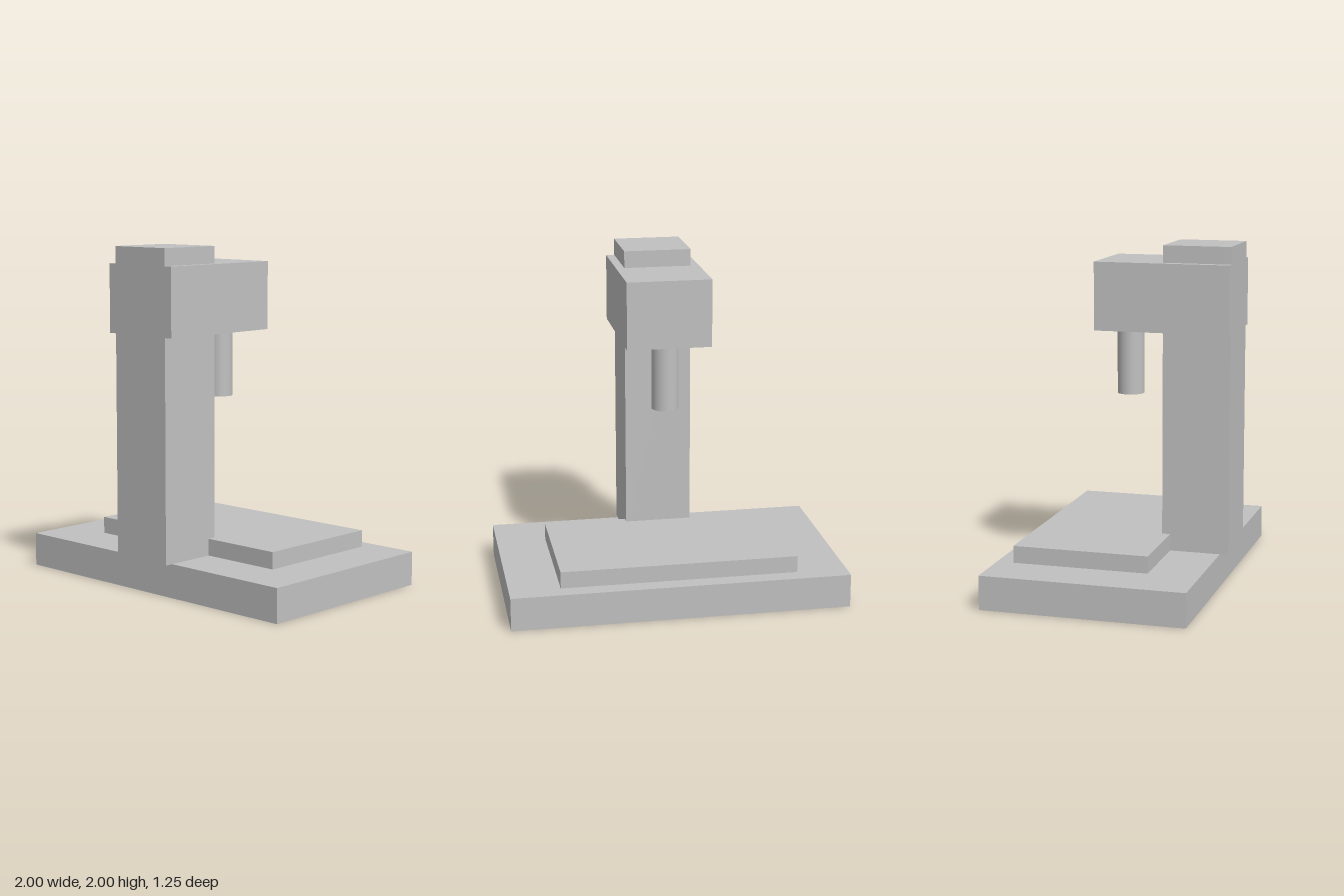
import * as THREE from 'three';

export function createModel() {
  const model = new THREE.Group();
  model.name = 'drillPress';
  const grey = new THREE.MeshStandardMaterial({ color: 0xc0c0c0 });
  grey.name = 'plain grey';

  const add = (name, geometry, y, z) => {
    const mesh = new THREE.Mesh(geometry, grey);
    mesh.name = name;
    mesh.position.set(0, y, z);
    model.add(mesh);
  };
  // Box centred on x, given by its width and its y and z ranges
  const block = (name, width, y0, y1, z0, z1) =>
    add(name, new THREE.BoxGeometry(width, y1 - y0, z1 - z0), (y0 + y1) / 2, (z0 + z1) / 2);

  block('base', 2, 0, 0.2, -0.625, 0.575);
  block('workTable', 1.4, 0.2, 0.3, -0.525, 0.275);
  // The column overhangs the base edge slightly and rises through the head
  block('column', 0.4, 0.2, 2, 0.225, 0.625);
  block('head', 0.5, 1.5, 1.9, -0.175, 0.625);

  // Spindle hanging under the free end of the head
  add('spindle', new THREE.CylinderGeometry(0.08, 0.08, 0.4, 48), 1.3, -0.023);

  return model;
}
